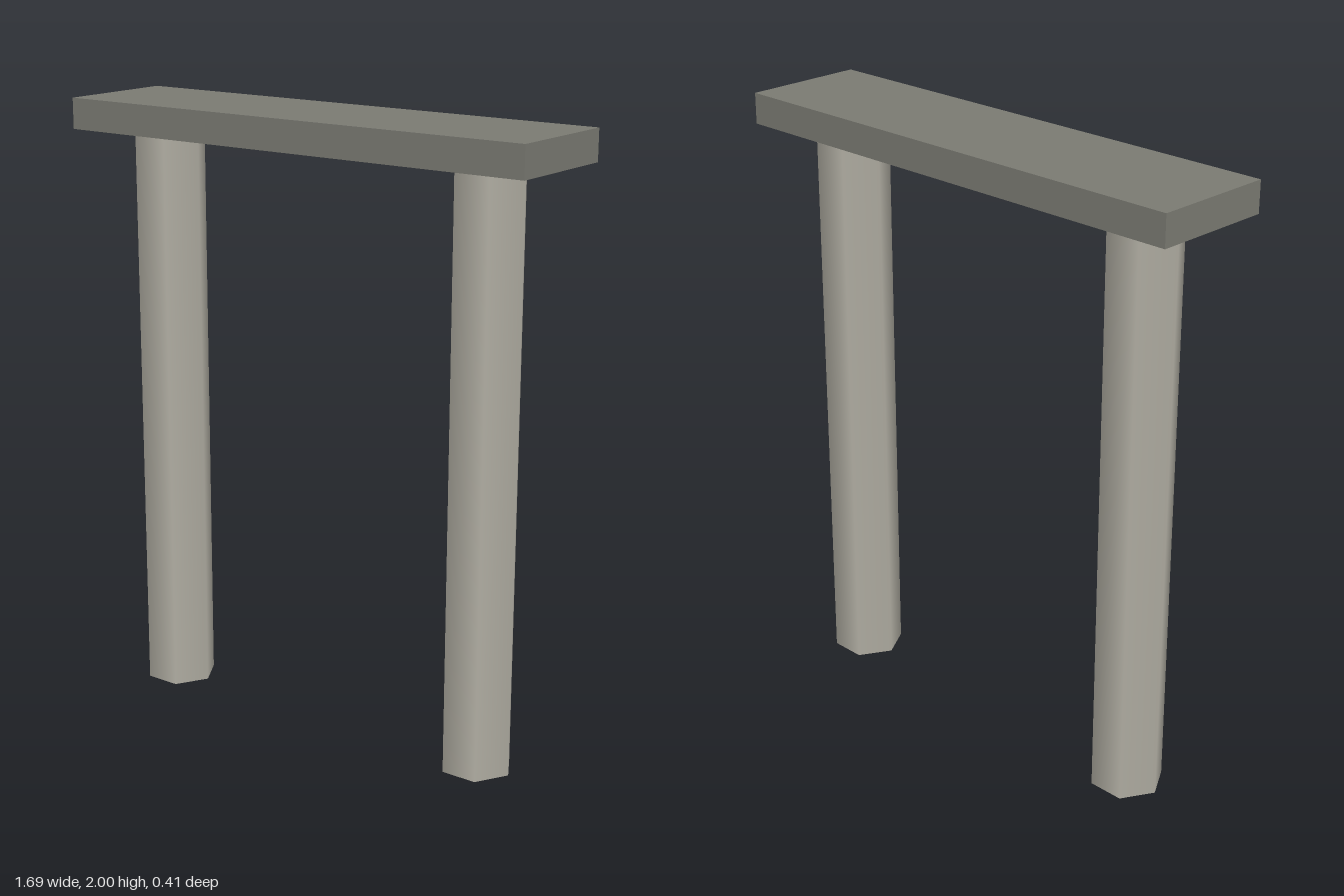
import * as THREE from 'three';

export function createModel() {
  const model = new THREE.Group();
  model.name = 'postAndLintel';

  const darkStone = new THREE.MeshStandardMaterial({ color: 0x7a7a72 });
  darkStone.name = 'darkStone';
  const paleStone = new THREE.MeshStandardMaterial({ color: 0xb0ada2 });
  paleStone.name = 'paleStone';

  const height = 2;
  const slabThickness = 0.1;
  const postHeight = height - slabThickness;

  // Flat slab across the top
  const slab = new THREE.Mesh(new THREE.BoxGeometry(1.69, slabThickness, 0.406), darkStone);
  slab.name = 'topSlab';
  slab.position.y = height - slabThickness / 2;
  model.add(slab);

  // Six-sided, smooth-shaded posts with corners pointing along x
  const postGeometry = new THREE.CylinderGeometry(0.118, 0.118, postHeight, 6, 1, false, Math.PI / 2);
  for (const [name, side] of [['leftPost', 1], ['rightPost', -1]]) {
    const post = new THREE.Mesh(postGeometry, paleStone);
    post.name = name;
    post.position.set(side * 0.611, postHeight / 2, 0);
    model.add(post);
  }

  return model;
}
